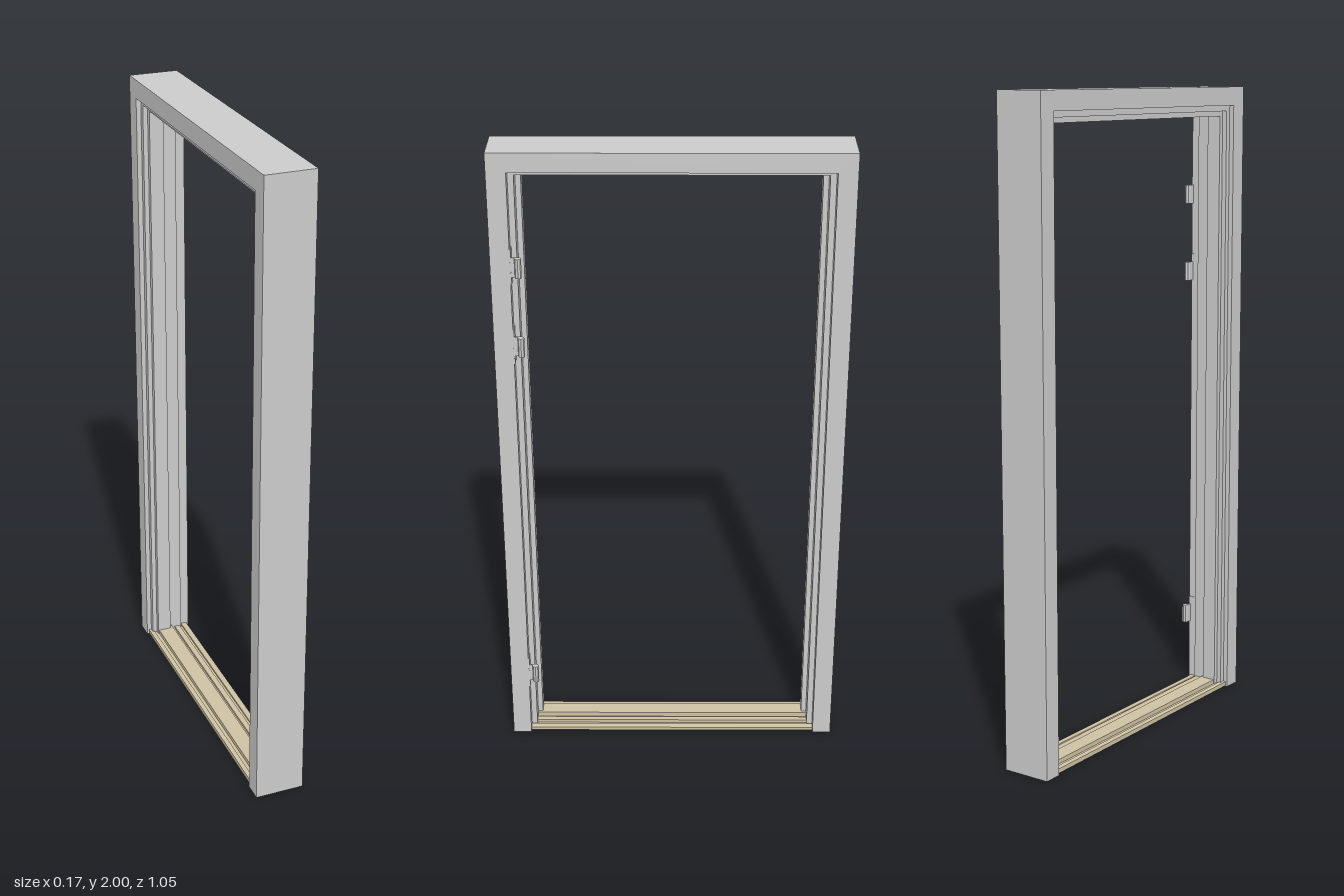
import * as THREE from 'three';

const grey = new THREE.MeshStandardMaterial({ color: 0xcccccc });
const tan = new THREE.MeshStandardMaterial({ color: 0xcfc2a4 });

const HALF = 0.525, TOP = 2;

// Frame cross-section: [depth x, distance inwards from the outer edge]
const frameProfile = [
  [-0.085, 0], [0.07, 0], [0.07, 0.058], [0.035, 0.058], [0.035, 0.076], [-0.01, 0.076],
  [-0.01, 0.092], [-0.055, 0.092], [-0.055, 0.076], [-0.07, 0.076], [-0.07, 0.058], [-0.085, 0.058],
];

// Sweeps the section up one jamb, across the head and down the other, with mitred corners
function sweepFrame(profile) {
  const stations = [
    ([x, d]) => [x, 0, HALF - d],
    ([x, d]) => [x, TOP - d, HALF - d],
    ([x, d]) => [x, TOP - d, d - HALF],
    ([x, d]) => [x, 0, d - HALF],
  ];
  const pos = [];
  const tri = (a, b, c) => pos.push(...a, ...b, ...c);
  for (let i = 0; i < 3; i++) {
    profile.forEach((a, j) => {
      const b = profile[(j + 1) % profile.length];
      const s = stations[i], t = stations[i + 1];
      tri(s(a), s(b), t(b));
      tri(s(a), t(b), t(a));
    });
  }
  // Feet of the jambs
  const contour = profile.map(([x, d]) => new THREE.Vector2(x, d));
  for (const [a, b, c] of THREE.ShapeUtils.triangulateShape(contour, [])) {
    const [p, q, r] = [profile[a], profile[b], profile[c]];
    tri(stations[0](p), stations[0](r), stations[0](q));
    tri(stations[3](p), stations[3](q), stations[3](r));
  }
  const geo = new THREE.BufferGeometry();
  geo.setAttribute('position', new THREE.Float32BufferAttribute(pos, 3));
  geo.computeVertexNormals();
  return geo;
}

function add(parent, name, geo, mat, x = 0, y = 0, z = 0) {
  const mesh = new THREE.Mesh(geo, mat);
  mesh.name = name;
  mesh.position.set(x, y, z);
  parent.add(mesh);
  return mesh;
}

// Ribbed sill, stepped on top and channelled underneath
function thresholdGeometry() {
  const section = [
    [0.062, 0.002], [0.062, 0.013], [0.042, 0.015], [0.042, 0.009], [0.03, 0.009], [0.03, 0.02],
    [0.012, 0.02], [0.012, 0.012], [0, 0.012], [0, 0.028], [-0.052, 0.028], [-0.052, 0.014],
    [-0.064, 0.014], [-0.064, 0.018], [-0.078, 0.016], [-0.078, 0.002], [-0.066, 0.002],
    [-0.066, 0.008], [-0.03, 0.008], [-0.03, 0.002], [-0.02, 0.002], [-0.02, 0.008],
    [0.025, 0.006], [0.025, 0.002],
  ];
  const shape = new THREE.Shape(section.map(([x, y]) => new THREE.Vector2(x, y)));
  const length = 0.934;
  return new THREE.ExtrudeGeometry(shape, { depth: length, bevelEnabled: false })
    .translate(0, 0, -length / 2);
}

// Knuckle standing proud of the frame, with its leaf let into the rabbet
function makeHinge(y) {
  const hinge = new THREE.Group();
  hinge.name = 'hinge';
  hinge.position.y = y;
  const knuckle = new THREE.CylinderGeometry(0.01, 0.01, 0.06, 8).toNonIndexed();
  knuckle.computeVertexNormals();
  add(hinge, 'hingeKnuckle', knuckle, grey, 0.072, 0, 0.444);
  add(hinge, 'hingeArm', new THREE.BoxGeometry(0.006, 0.06, 0.024), grey, 0.066, 0, 0.457);
  add(hinge, 'hingeLeaf', new THREE.BoxGeometry(0.033, 0.11, 0.004), grey, 0.053, 0, 0.466);
  return hinge;
}

export function createModel() {
  const model = new THREE.Group();
  model.name = 'doorFrame';

  add(model, 'frame', sweepFrame(frameProfile), grey);
  add(model, 'threshold', thresholdGeometry(), tan);

  // Connectors joining the sill to the jambs
  for (const side of [-1, 1]) {
    for (const x of [0.045, -0.048]) {
      add(model, 'sillConnector', new THREE.BoxGeometry(0.024, 0.006, 0.04), grey, x, 0.003, side * 0.43);
    }
  }

  for (const y of [1.656, 1.406, 0.238]) model.add(makeHinge(y));
  return model;
}
